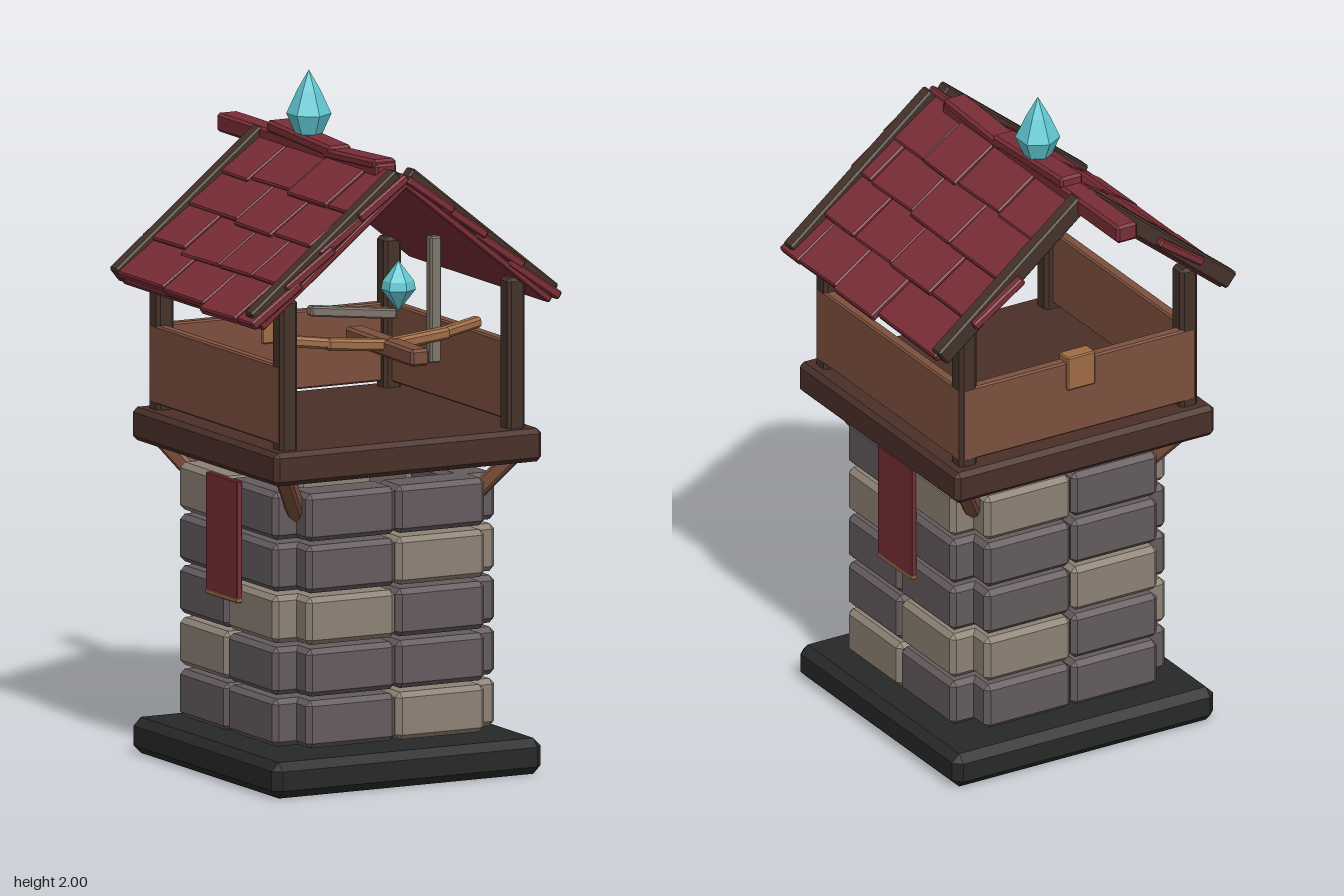
import * as THREE from 'three';
import { ConvexGeometry } from 'three/addons/geometries/ConvexGeometry.js';

const mat = (name, color) => {
  const m = new THREE.MeshStandardMaterial({ color, flatShading: true });
  m.name = name;
  return m;
};

// Box with flat chamfered edges
function chamferBox(w, h, d, c) {
  const pts = [];
  for (const sx of [-1, 1]) for (const sy of [-1, 1]) for (const sz of [-1, 1]) {
    const x = w / 2, y = h / 2, z = d / 2;
    for (const [px, py, pz] of [[x, y - c, z - c], [x - c, y, z - c], [x - c, y - c, z]]) {
      pts.push(new THREE.Vector3(sx * px, sy * py, sz * pz));
    }
  }
  return new ConvexGeometry(pts);
}

// Small seeded generator for uneven tiles
function seeded(seed) {
  return () => {
    seed = (seed * 16807) % 2147483647;
    return seed / 2147483647 - 0.5;
  };
}

export function createModel() {
  const slate = mat('slate stone', 0x645b5d);
  const sandstone = mat('sandstone', 0x8e8275);
  const red = mat('red', 0x792d36);
  const wood = mat('wood', 0x7d4f3d);
  const darkWood = mat('dark wood', 0x4a3029);
  const beamWood = mat('beam wood', 0x443229);
  const lightWood = mat('light wood', 0xa06c45);
  const greyWood = mat('grey wood', 0x7f766a);
  const plinthMat = mat('black stone', 0x272828);
  const crystalMat = mat('crystal', 0x62cbd6);

  const model = new THREE.Group();
  model.name = 'watchtower';
  const tower = new THREE.Group();
  tower.name = 'tower';
  tower.rotation.y = Math.PI / 4; // stands corner-on, open side towards +x +z
  model.add(tower);

  function add(parent, name, geometry, material, x = 0, y = 0, z = 0) {
    const mesh = new THREE.Mesh(geometry, material);
    mesh.name = name;
    mesh.position.set(x, y, z);
    parent.add(mesh);
    return mesh;
  }
  const block = (parent, name, material, [w, h, d], [x, y, z], c = 0.01) =>
    add(parent, name, chamferBox(w, h, d, c), material, x, y, z);

  // Bar running from a to b, with a given width and height
  const up = new THREE.Vector3(0, 1, 0);
  function bar(name, material, a, b, w, h, c = 0.008) {
    const from = new THREE.Vector3(...a), to = new THREE.Vector3(...b);
    const mesh = add(tower, name, chamferBox(w, h, from.distanceTo(to), c), material);
    mesh.position.copy(from).add(to).multiplyScalar(0.5);
    mesh.quaternion.setFromRotationMatrix(new THREE.Matrix4().lookAt(to, from, up));
  }

  // Plinth and platform
  block(tower, 'plinth', plinthMat, [0.88, 0.105, 0.88], [0, 0.0525, 0], 0.024);
  block(tower, 'platform', darkWood, [0.875, 0.097, 0.875], [0, 0.962, 0], 0.014);

  // Stone courses, bottom to top: two blocks per side, t marks sandstone
  const sides = [
    { angle: 0, rows: ['gt', 'gg', 'tg', 'gt', 'gg'] },
    { angle: Math.PI / 2, rows: ['tg', 'gt', 'gg', 'tg', 'gt'] },
    { angle: Math.PI, rows: ['gg', 'tg', 'gt', 'gg', 'tg'] },
    { angle: -Math.PI / 2, rows: ['gg', 'tg', 'gt', 'gg', 'tg'] },
  ];
  for (const { angle, rows } of sides) {
    const wall = new THREE.Group();
    wall.name = 'stoneWall';
    wall.rotation.y = angle;
    tower.add(wall);
    rows.forEach((row, i) => [...row].forEach((kind, j) => {
      block(wall, 'stoneBlock', kind === 't' ? sandstone : slate,
        [0.29, 0.139, 0.13], [(j - 0.5) * 0.293, 0.193 + i * 0.151, 0.298], 0.015);
    }));
  }

  // Corner braces and roof posts
  for (const sx of [-1, 1]) for (const sz of [-1, 1]) {
    bar('brace', wood, [sx * 0.375, 0.93, sz * 0.375], [sx * 0.265, 0.77, sz * 0.265], 0.05, 0.045);
    block(tower, 'post', beamWood, [0.058, 0.45, 0.058], [sx * 0.372, 1.225, sz * 0.372]);
  }

  // Parapet on three sides, open at the front
  for (const s of [-1, 1]) block(tower, 'sideParapet', wood, [0.035, 0.23, 0.785], [s * 0.384, 1.142, 0], 0.005);
  block(tower, 'backParapet', wood, [0.785, 0.23, 0.035], [0, 1.142, -0.384], 0.005);
  block(tower, 'parapetPatch', lightWood, [0.095, 0.105, 0.05], [0, 1.222, -0.387], 0.004);

  // Banners with a pale hem on both flanks
  for (const s of [-1, 1]) {
    block(tower, 'banner', red, [0.018, 0.345, 0.188], [s * 0.37, 0.698, 0], 0.003);
    block(tower, 'bannerHem', lightWood, [0.022, 0.016, 0.19], [s * 0.37, 0.523, 0], 0.003);
  }

  // Mounted crossbow
  bar('crossbowStock', wood, [0, 1.27, 0.1], [0, 1.265, 0.505], 0.06, 0.05);
  for (const s of [-1, 1]) {
    bar('crossbowArm', lightWood, [0, 1.275, 0.32], [s * 0.2, 1.29, 0.3], 0.04, 0.035);
    bar('crossbowArmTip', lightWood, [s * 0.18, 1.29, 0.302], [s * 0.325, 1.305, 0.256], 0.035, 0.032);
  }
  bar('greySlat', greyWood, [-0.26, 1.395, 0.31], [0.01, 1.367, 0.33], 0.035, 0.03, 0.005);
  block(tower, 'greyUpright', greyWood, [0.036, 0.37, 0.03], [0.17, 1.385, 0.27], 0.005);

  // Roof slopes, each a deck with overlapping uneven tiles and two edge beams
  const angle = 0.677, slope = 0.61;
  const rand = seeded(71);
  for (const s of [-1, 1]) {
    const side = new THREE.Group();
    side.name = s < 0 ? 'roofRightSlope' : 'roofLeftSlope';
    side.position.y = 1.765;
    side.rotation.z = -s * angle;
    tower.add(side);
    block(side, 'roofDeck', red, [slope, 0.02, 0.84], [s * slope / 2, -0.005, 0], 0.004);
    for (let row = 0; row < 4; row++) {
      const cuts = [row === 2 ? -0.47 : -0.425]; // one course juts out at the back
      const shift = row % 2 ? 0.1 : 0;
      for (const z of [-0.22, 0, 0.22]) cuts.push(z + shift + rand() * 0.05);
      cuts.push(0.425 + rand() * 0.02);
      for (let i = 0; i + 1 < cuts.length; i++) {
        const tile = block(side, 'roofTile', red, [0.185 + rand() * 0.03, 0.026, cuts[i + 1] - cuts[i] - 0.004],
          [s * (0.083 + row * 0.15 + rand() * 0.02), 0.017 + rand() * 0.008, (cuts[i] + cuts[i + 1]) / 2], 0.005);
        tile.rotation.z = s * 0.07;
        tile.rotation.y = rand() * 0.04;
      }
    }
    for (const z of [-0.425, 0.388]) {
      block(side, 'roofEdgeBeam', beamWood, [slope, 0.055, 0.045], [s * slope / 2, 0.02, z], 0.006);
    }
  }

  // Ridge pole and caps
  bar('ridgePole', red, [0, 1.77, -0.665], [0, 1.772, 0.3], 0.07, 0.055);
  bar('ridgeCap', red, [0, 1.808, -0.36], [0, 1.79, 0.02], 0.075, 0.035);
  bar('ridgeCap', red, [0, 1.782, -0.02], [0, 1.797, 0.29], 0.075, 0.03);

  // Crystals: a large finial and a small one on the crossbow
  const crystal = (name, z, profile) => add(tower, name,
    new THREE.LatheGeometry(profile.map(([r, y]) => new THREE.Vector2(r, y)), 6), crystalMat, 0, 0, z);
  crystal('roofCrystal', -0.17, [[0, 1.81], [0.04, 1.815], [0.065, 1.872], [0.034, 1.94], [0, 2.0]]);
  crystal('crossbowCrystal', 0.37, [[0, 1.38], [0.05, 1.445], [0.045, 1.47], [0, 1.53]]);

  return model;
}
